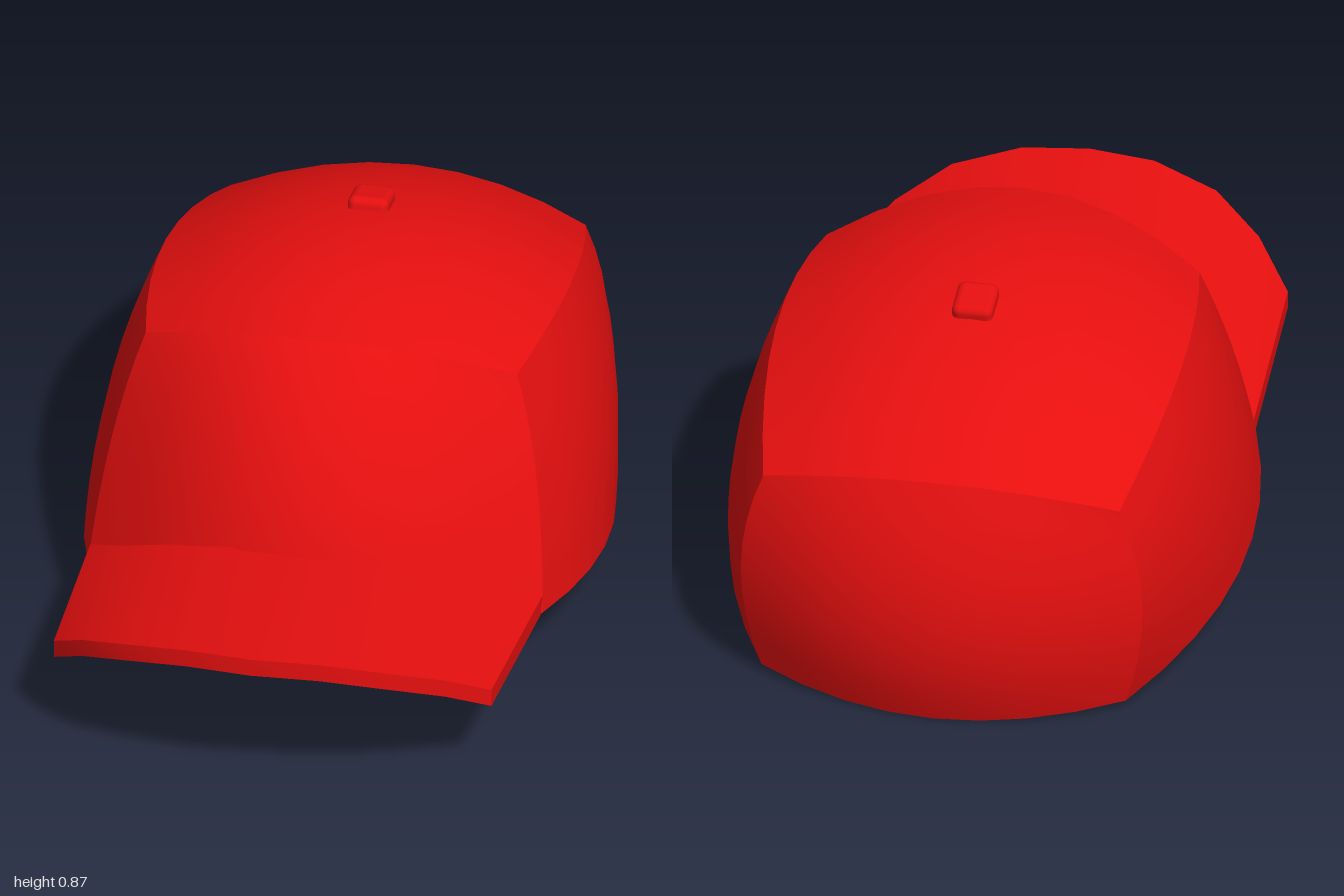
import * as THREE from 'three';
import { RoundedBoxGeometry } from 'three/addons/geometries/RoundedBoxGeometry.js';

const V = (x, y, z) => new THREE.Vector3(x, y, z);
const flip = (p) => V(-p.x, p.y, p.z);

// Smooth sheet over rows of points (top to bottom, left to right seen from outside)
function sheet(rows) {
  const nc = rows[0].length, index = [];
  for (let r = 0; r < rows.length - 1; r++) {
    for (let c = 0; c < nc - 1; c++) {
      const a = r * nc + c, b = a + nc;
      index.push(a, b, b + 1, a, b + 1, a + 1);
    }
  }
  const g = new THREE.BufferGeometry().setFromPoints(rows.flat());
  g.setIndex(index);
  g.computeVertexNormals();
  return g;
}

// Quadratic curve through three points
const through = ([a, b, c], t) => V(0, 0, 0)
  .addScaledVector(a, (1 - t) * (1 - 2 * t))
  .addScaledVector(b, 4 * t * (1 - t))
  .addScaledVector(c, t * (2 * t - 1));

// Curved panel through a 3 x 3 grid of points
function panel(grid, n = 8) {
  const rows = [];
  for (let r = 0; r <= n; r++) {
    const row = [];
    for (let c = 0; c <= n; c++) row.push(through(grid.map((g) => through(g, c / n)), r / n));
    rows.push(row);
  }
  return sheet(rows);
}

export function createModel() {
  const model = new THREE.Group();
  model.name = 'cap';
  const red = new THREE.MeshStandardMaterial({ color: 0xe60f0f, side: THREE.DoubleSide });
  red.name = 'red fabric';
  const add = (parent, name, geometry) => {
    const mesh = new THREE.Mesh(geometry, red);
    mesh.name = name;
    parent.add(mesh);
    return mesh;
  };

  // Crown: points shared by neighbouring panels, on the +x half
  const frontTop = V(0.45, 0.7, 0.05), frontMid = V(0.515, 0.45, 0.13), frontLow = V(0.55, 0.16, 0.24);
  const sideTop = V(0.49, 0.69, -0.38), sideMid = V(0.585, 0.4, -0.33), sideLow = V(0.613, 0.09, -0.29);
  const backTop = V(0.43, 0.56, -0.84), backMid = V(0.485, 0.3, -0.835), backLow = V(0.44, 0.02, -0.81);
  const ridgeFront = V(0, 0.81, 0.17), ridgeMid = V(0, 0.845, -0.37), ridgeBack = V(0, 0.63, -0.91);
  const crown = new THREE.Group();
  crown.name = 'crown';
  model.add(crown);

  const across = (centre, side) => [flip(side), centre, side];
  add(crown, 'topPanel', panel([
    across(ridgeBack, backTop), across(ridgeMid, sideTop), across(ridgeFront, frontTop)]));
  add(crown, 'frontPanel', panel([
    across(ridgeFront, frontTop), across(V(0, 0.6, 0.355), frontMid), across(V(0, 0.33, 0.475), frontLow)]));
  add(crown, 'backPanel', panel([
    across(ridgeBack, backTop).reverse(),
    across(V(0, 0.3, -1), backMid).reverse(),
    across(V(0, 0, -0.945), backLow).reverse()]));
  const side = [
    [frontTop, sideTop, backTop], [frontMid, sideMid, backMid], [frontLow, sideLow, backLow]];
  add(crown, 'leftPanel', panel(side));
  add(crown, 'rightPanel', panel(side.map((row) => row.map(flip).reverse())));

  // Brim: arched slab between the crown and a rounded front edge
  const mirrorRow = (half) => [...half.slice(1).reverse().map(flip), ...half];
  const lower = (row) => row.map((p) => V(p.x, p.y - 0.045, p.z));
  const front = mirrorRow([
    V(0, 0.43, 0.997), V(0.16, 0.425, 0.98), V(0.32, 0.39, 0.93), V(0.44, 0.33, 0.84), V(0.53, 0.25, 0.735)]);
  const back = mirrorRow([
    V(0, 0.38, 0.45), V(0.17, 0.37, 0.425), V(0.33, 0.322, 0.375), V(0.45, 0.262, 0.31), V(0.548, 0.2, 0.225)]);
  const frontUnder = lower(front), backUnder = lower(back);
  const brim = new THREE.Group();
  brim.name = 'brim';
  model.add(brim);
  add(brim, 'brimTop', sheet([back, front]));
  add(brim, 'brimUnderside', sheet([frontUnder, backUnder]));
  add(brim, 'brimFrontEdge', sheet([front, frontUnder]));
  const e = front.length - 1;
  add(brim, 'brimLeftEdge', sheet([[front[e], back[e]], [frontUnder[e], backUnder[e]]]));
  add(brim, 'brimRightEdge', sheet([[back[0], front[0]], [backUnder[0], frontUnder[0]]]));

  // Button on top, tipped back with the crown
  const button = add(model, 'button', new RoundedBoxGeometry(0.1, 0.05, 0.11, 2, 0.02));
  button.position.set(0, 0.838, -0.415);
  button.rotation.x = -0.2;

  return model;
}
